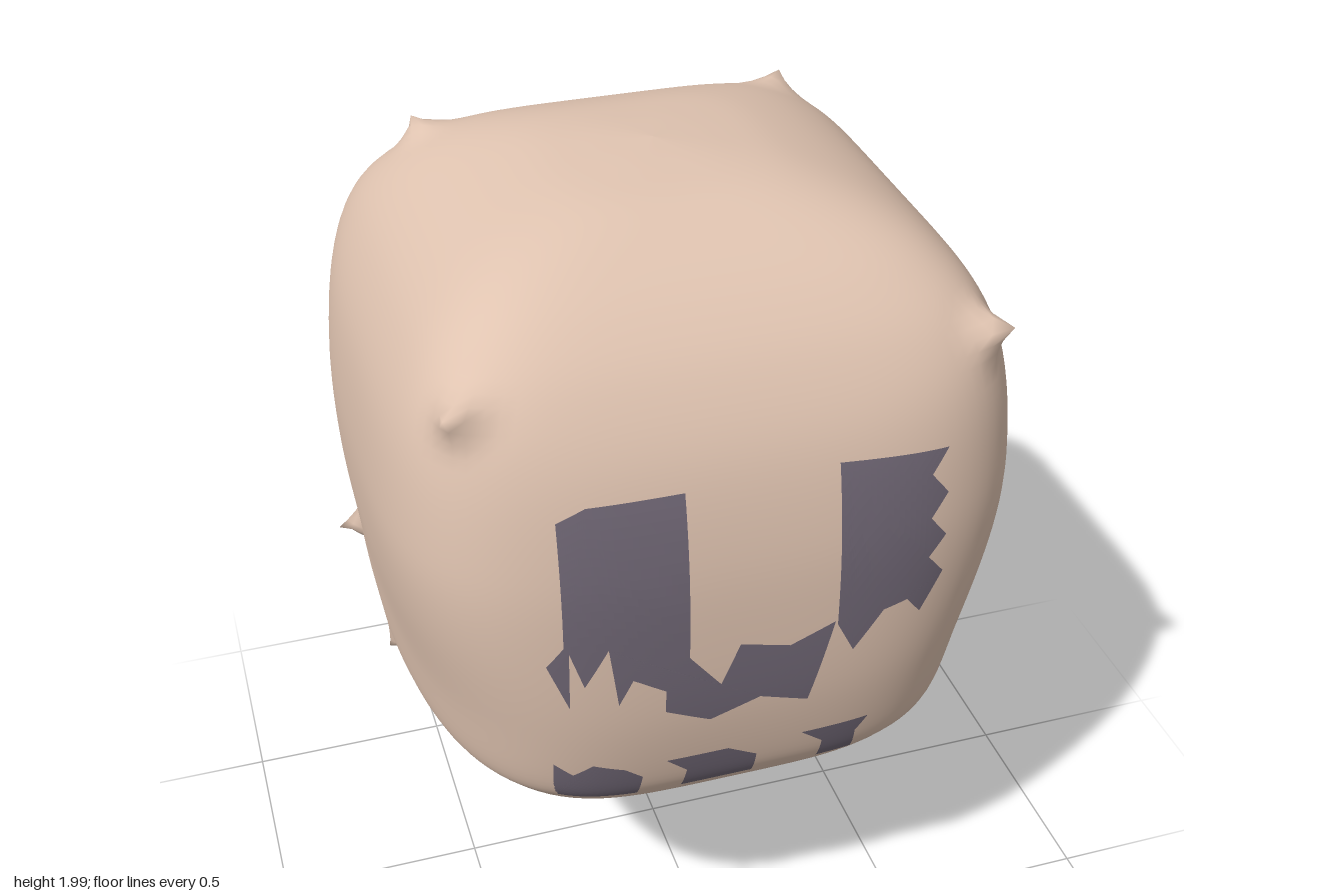
import * as THREE from 'three';

// Cross-sections: y, xMin, xMax, zBack, zFront, squareness
const SECTIONS = [
  [0.04, 0.05, 0.05, -0.25, -0.25, 2.5],
  [0.043, -0.03, 0.17, -0.40, -0.11, 2.6],
  [0.06, -0.10, 0.20, -0.43, -0.08, 3],
  [0.1, -0.14, 0.205, -0.44, -0.06, 3],
  [0.2, -0.16, 0.215, -0.45, -0.02, 3],
  [0.4, -0.20, 0.25, -0.475, 0.02, 2.8],
  [0.5, -0.25, 0.285, -0.51, 0.06, 2.6],
  [0.55, -0.32, 0.34, -0.54, 0.12, 2.6],
  [0.59, -0.40, 0.40, -0.565, 0.26, 3],
  [0.63, -0.47, 0.47, -0.59, 0.48, 3.4],
  [0.68, -0.55, 0.55, -0.615, 0.58, 3.9],
  [0.74, -0.615, 0.615, -0.64, 0.635, 4.3],
  [0.82, -0.66, 0.66, -0.67, 0.672, 4.2],
  [1.0, -0.68, 0.68, -0.70, 0.705, 4],
  [1.2, -0.70, 0.70, -0.71, 0.712, 3.9],
  [1.4, -0.70, 0.70, -0.70, 0.70, 4],
  [1.6, -0.67, 0.67, -0.66, 0.655, 4.6],
  [1.75, -0.605, 0.605, -0.585, 0.575, 6],
  [1.85, -0.52, 0.52, -0.50, 0.48, 6],
  [1.92, -0.41, 0.41, -0.405, 0.37, 5.5],
  [1.97, -0.27, 0.27, -0.27, 0.25, 4],
  [1.99, -0.14, 0.14, -0.14, 0.13, 3],
  [2.0, 0, 0, 0, 0, 3],
];

// Small pinched corners: tip x, y, z and radius of pull
const PINCHES = [
  [0.18, 0.01, -0.485, 0.12],
  [0.225, 0.01, -0.09, 0.12],
];
for (const s of [-1, 1]) {
  PINCHES.push(
    [s * 0.588, 1.757, 0.575, 0.1],
    [s * 0.44, 1.925, -0.42, 0.11],
    [s * 0.70, 0.735, -0.55, 0.14],
    [s * 0.66, 0.73, -0.04, 0.1],
  );
}

// The jaw narrows towards the front
const { smoothstep } = THREE.MathUtils;
const narrowing = (y) => 0.15 * smoothstep(y, 0.57, 0.75) * (1 - smoothstep(y, 0.8, 1.4));

// Smooth blend through the cross-sections
function sectionAt(t) {
  const last = SECTIONS.length - 1;
  const i = Math.min(Math.floor(t), last - 1), f = t - i;
  const at = (k) => SECTIONS[Math.max(0, Math.min(last, k))];
  const [a, b, c, d] = [at(i - 1), at(i), at(i + 1), at(i + 2)];
  return b.map((v, k) => v + 0.5 * f * (c[k] - a[k]
    + f * (2 * a[k] - 5 * v + 4 * c[k] - d[k] + f * (3 * (v - c[k]) + d[k] - a[k]))));
}

// Front surface depth at a point of the face
function faceZ(x, y) {
  let lo = 0, hi = SECTIONS.length - 1;
  for (let i = 0; i < 30; i++) {
    const mid = (lo + hi) / 2;
    if (sectionAt(mid)[0] < y) lo = mid; else hi = mid;
  }
  const [, x0, x1, z0, z1, n] = sectionAt(lo);
  const u = Math.min(1, Math.abs((x - (x0 + x1) / 2) / ((x1 - x0) / 2 * (1 - narrowing(y)))));
  return (z0 + z1) / 2 + (z1 - z0) / 2 * Math.pow(1 - Math.pow(u, n), 1 / n);
}

// Head and neck as one closed skin
function bodyGeometry() {
  const around = 176, steps = (SECTIONS.length - 1) * 6;
  const pos = [], index = [];
  for (let j = 0; j <= steps; j++) {
    const [y, x0, x1, z0, z1, n] = sectionAt(j / 6);
    for (let i = 0; i < around; i++) {
      const a = i / around * Math.PI * 2, c = Math.cos(a), s = Math.sin(a);
      const r = Math.pow(Math.abs(c) ** n + Math.abs(s) ** n, -1 / n);
      const width = (x1 - x0) / 2 * (1 - narrowing(y) * Math.max(0, r * s) ** 1.5);
      pos.push((x0 + x1) / 2 + width * r * c, y, (z0 + z1) / 2 + (z1 - z0) / 2 * r * s);
      if (j === steps) continue;
      const p = j * around + i, q = j * around + (i + 1) % around;
      index.push(p, p + around, q, q, p + around, q + around);
    }
  }
  // Pull the skin out to each pinched tip
  const v = new THREE.Vector3();
  for (const [tx, ty, tz, radius] of PINCHES) {
    const tip = new THREE.Vector3(tx, ty, tz), base = new THREE.Vector3();
    let best = Infinity;
    for (let k = 0; k < pos.length; k += 3) {
      const d = v.fromArray(pos, k).distanceTo(tip);
      if (d < best) { best = d; base.copy(v); }
    }
    const pull = tip.sub(base);
    for (let k = 0; k < pos.length; k += 3) {
      const d = v.fromArray(pos, k).distanceTo(base);
      if (d < radius) v.addScaledVector(pull, (1 - d / radius) ** 2.5).toArray(pos, k);
    }
  }
  const g = new THREE.BufferGeometry();
  g.setAttribute('position', new THREE.Float32BufferAttribute(pos, 3));
  g.setIndex(index);
  g.computeVertexNormals();
  return g;
}

// Painted outline, subdivided and laid onto the face
function paintGeometry(outline) {
  const flat = new THREE.ShapeGeometry(new THREE.Shape(outline.map(([x, y]) => new THREE.Vector2(x, y)))).toNonIndexed();
  const src = flat.attributes.position, pos = [];
  const split = (a, b, c, depth) => {
    if (depth === 0) {
      for (const p of [a, b, c]) pos.push(p.x, p.y, faceZ(p.x, p.y) + 0.004);
      return;
    }
    const ab = a.clone().lerp(b, 0.5), bc = b.clone().lerp(c, 0.5), ca = c.clone().lerp(a, 0.5);
    split(a, ab, ca, depth - 1);
    split(ab, b, bc, depth - 1);
    split(ca, bc, c, depth - 1);
    split(ab, bc, ca, depth - 1);
  };
  const corner = (k) => new THREE.Vector2(src.getX(k), src.getY(k));
  for (let k = 0; k < src.count; k += 3) split(corner(k), corner(k + 1), corner(k + 2), 4);
  const g = new THREE.BufferGeometry();
  g.setAttribute('position', new THREE.Float32BufferAttribute(pos, 3));
  g.computeVertexNormals();
  return g;
}

const PAINT = {
  rightEyeAndNose: [[-0.40, 1.54], [-0.34, 1.565], [-0.14, 1.565], [-0.14, 1.18], [-0.07, 1.09], [-0.03, 1.19],
    [0.08, 1.16], [0.18, 1.2], [0.13, 0.99], [0.02, 1.03], [-0.09, 0.99], [-0.19, 1.04], [-0.19, 1.1],
    [-0.26, 1.145], [-0.29, 1.08], [-0.31, 1.235], [-0.36, 1.14], [-0.39, 1.235], [-0.39, 1.08], [-0.435, 1.2], [-0.40, 1.25]],
  leftEye: [[0.185, 1.57], [0.43, 1.55], [0.39, 1.5], [0.43, 1.45], [0.39, 1.4], [0.43, 1.35], [0.39, 1.305],
    [0.43, 1.255], [0.38, 1.165], [0.345, 1.21], [0.29, 1.2], [0.225, 1.11], [0.185, 1.19]],
  mouthRight: [[-0.42, 0.89], [-0.38, 0.855], [-0.34, 0.89], [-0.27, 0.865], [-0.23, 0.83], [-0.235, 0.755], [-0.415, 0.76]],
  mouthMiddle: [[-0.18, 0.875], [-0.04, 0.875], [0.03, 0.83], [0.03, 0.755], [-0.135, 0.755], [-0.13, 0.825]],
  mouthLeft: [[0.13, 0.875], [0.29, 0.875], [0.265, 0.83], [0.27, 0.755], [0.185, 0.755], [0.185, 0.825]],
};

export function createModel() {
  const skin = new THREE.MeshStandardMaterial({ color: 0xdfc3b0 });
  skin.name = 'tan skin';
  const paint = new THREE.MeshStandardMaterial({ color: 0x706775 });
  paint.name = 'dusky purple';

  const model = new THREE.Group();
  model.name = 'headOnNeck';
  const body = new THREE.Mesh(bodyGeometry(), skin);
  body.name = 'headAndNeck';
  model.add(body);

  const face = new THREE.Group();
  face.name = 'face';
  for (const [name, outline] of Object.entries(PAINT)) {
    const mesh = new THREE.Mesh(paintGeometry(outline), paint);
    mesh.name = name;
    face.add(mesh);
  }
  model.add(face);
  return model;
}
